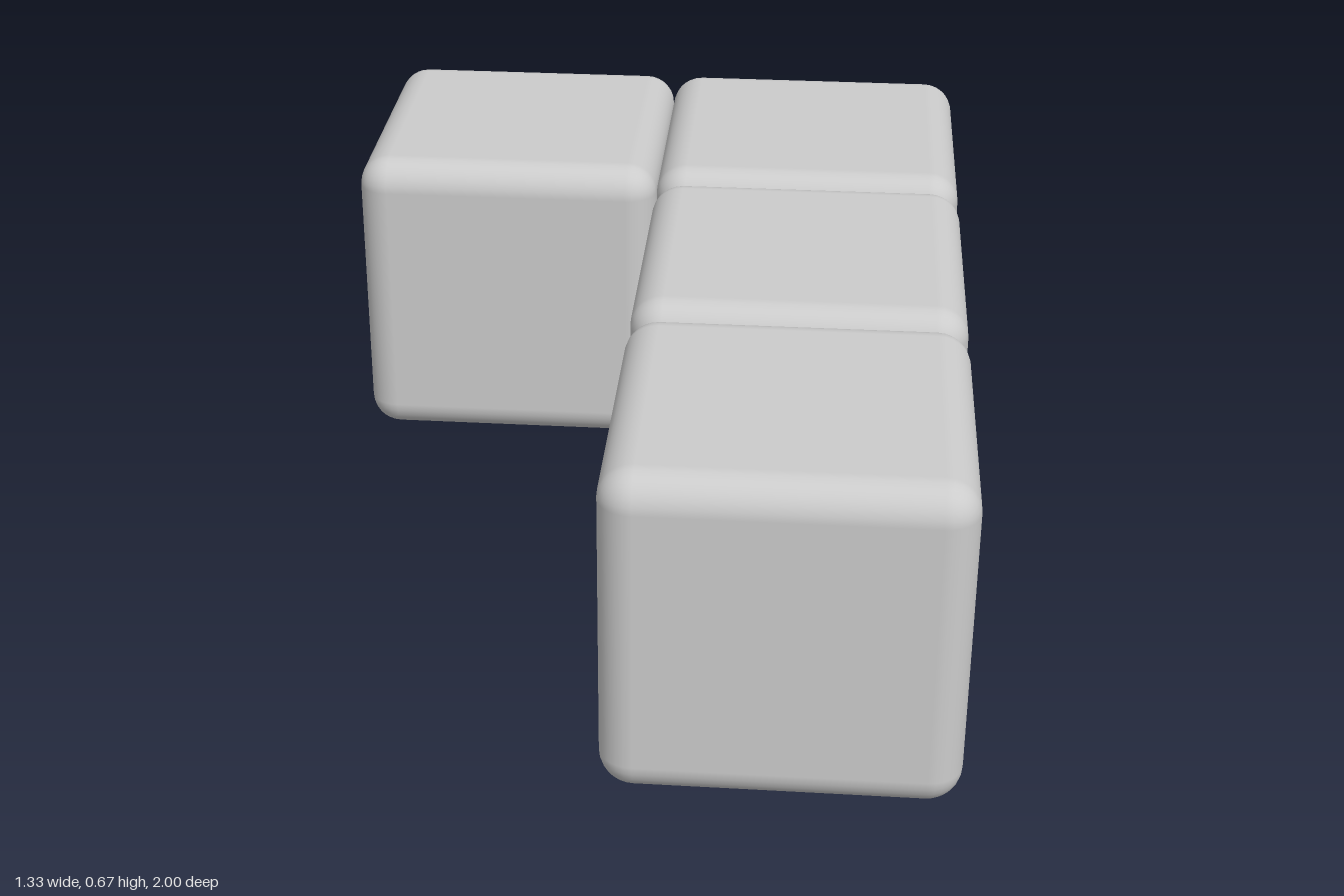
import * as THREE from 'three';
import { RoundedBoxGeometry } from 'three/addons/geometries/RoundedBoxGeometry.js';

export function createModel() {
  const group = new THREE.Group();
  group.name = 'cornerBlockPiece';

  const size = 2 / 3;
  const material = new THREE.MeshStandardMaterial({ color: 0xcccccc });
  const cube = new RoundedBoxGeometry(size, size, size, 4, size * 0.1);

  // Three cubes in a row, with one beside the back end: [name, x, z] in half and whole cubes
  const cubes = [
    ['frontCube', 0.5, 1],
    ['middleCube', 0.5, 0],
    ['backCube', 0.5, -1],
    ['sideCube', -0.5, -1],
  ];
  for (const [name, x, z] of cubes) {
    const mesh = new THREE.Mesh(cube, material);
    mesh.name = name;
    mesh.position.set(x * size, size / 2, z * size);
    group.add(mesh);
  }
  return group;
}
